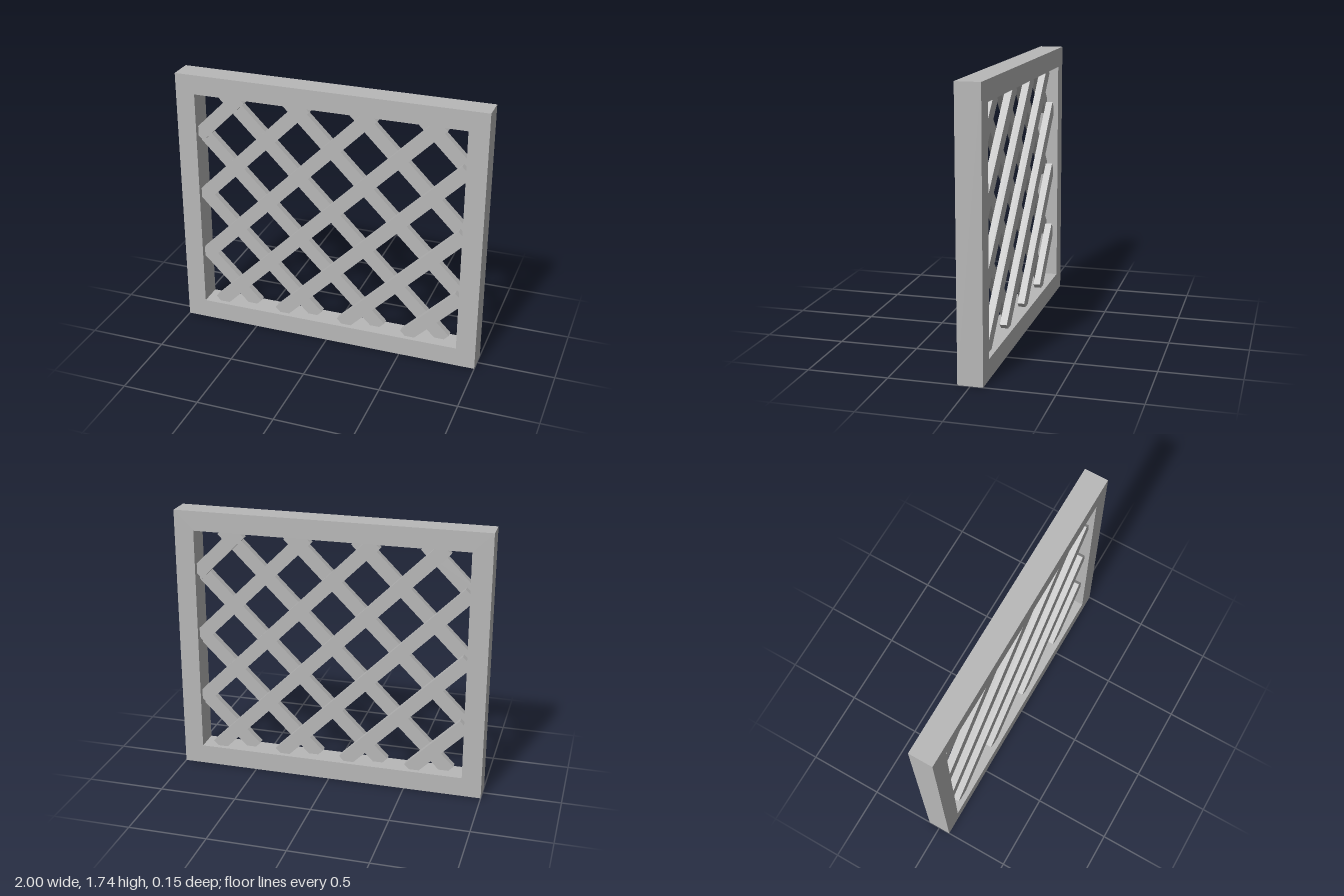
import * as THREE from 'three';

const W = 2, H = 1.74, BAR = 0.126, DEPTH = 0.154;
const SLAT_W = 0.09, SLAT_T = 0.045, PITCH = 0.4335, MID = 0.9;

export function createModel() {
  const model = new THREE.Group();
  model.name = 'latticePanel';
  const grey = new THREE.MeshStandardMaterial({ color: 0xb8b8b8 });
  grey.name = 'grey';

  const x1 = W / 2 - BAR, y0 = BAR, y1 = H - BAR;

  // Rectangular frame with one opening
  const outline = new THREE.Shape([
    new THREE.Vector2(-W / 2, 0), new THREE.Vector2(W / 2, 0),
    new THREE.Vector2(W / 2, H), new THREE.Vector2(-W / 2, H),
  ]);
  outline.holes.push(new THREE.Path([
    new THREE.Vector2(-x1, y0), new THREE.Vector2(-x1, y1),
    new THREE.Vector2(x1, y1), new THREE.Vector2(x1, y0),
  ]));
  const frameGeometry = new THREE.ExtrudeGeometry(outline, { depth: DEPTH, bevelEnabled: false });
  frameGeometry.translate(0, 0, -DEPTH / 2);
  const frame = new THREE.Mesh(frameGeometry, grey);
  frame.name = 'frame';
  model.add(frame);

  // Two layers of diagonal slats: rising to the right in front, mirrored behind
  for (const side of [1, -1]) {
    const layer = new THREE.Group();
    layer.name = side > 0 ? 'frontSlats' : 'backSlats';
    for (let k = -3; k <= 3; k++) {
      // Centre line y = x + c, square-cut where it meets the opening
      const c = MID + k * PITCH;
      const xa = Math.max(-x1, y0 - c), xb = Math.min(x1, y1 - c);
      const xm = (xa + xb) / 2;
      const slat = new THREE.Mesh(
        new THREE.BoxGeometry((xb - xa) * Math.SQRT2, SLAT_W, SLAT_T), grey);
      slat.name = 'slat';
      slat.position.set(side * xm, xm + c, side * SLAT_T / 2);
      slat.rotation.z = side * Math.PI / 4;
      layer.add(slat);
    }
    model.add(layer);
  }
  return model;
}
